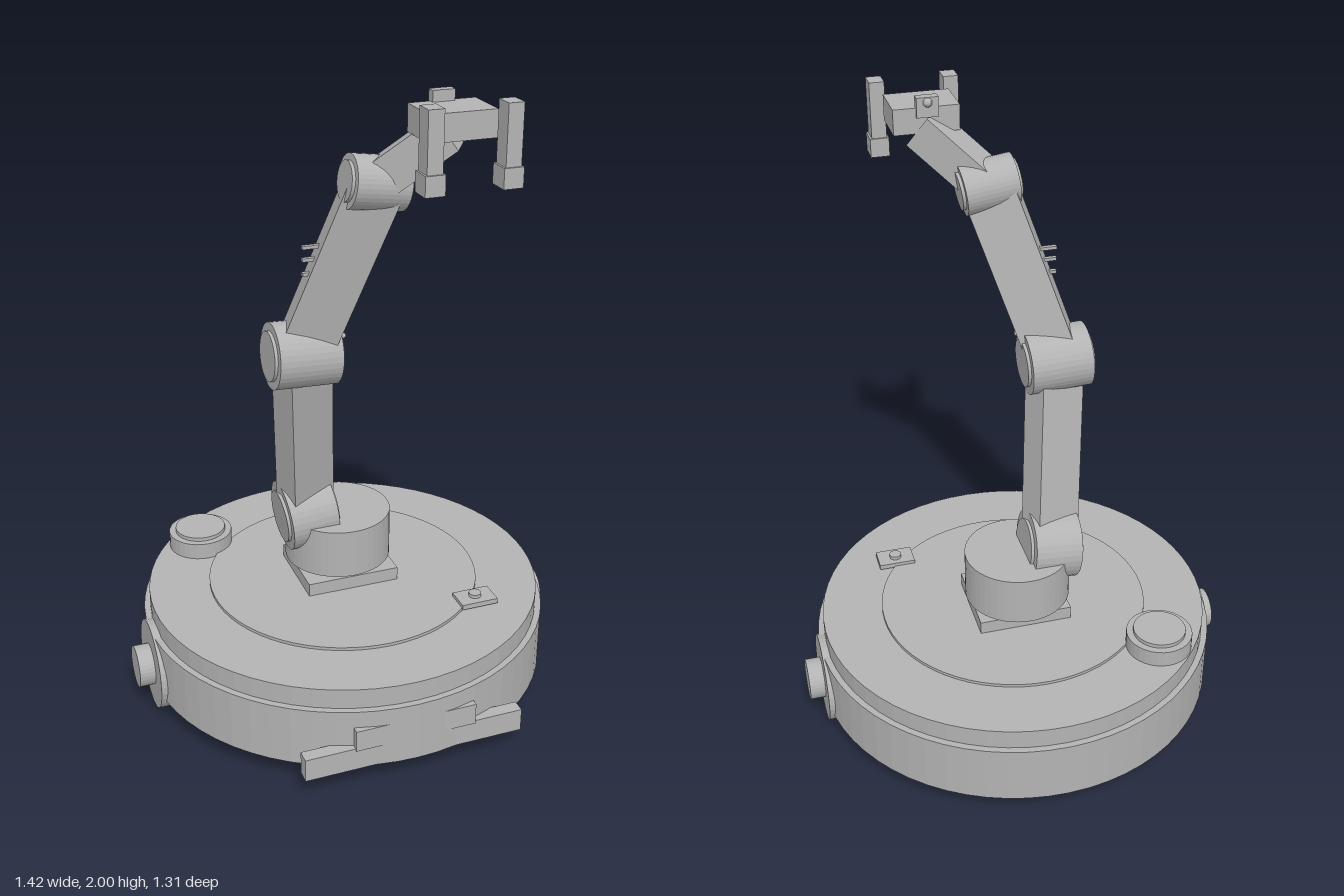
import * as THREE from 'three';

export function createModel() {
  const root = new THREE.Group();
  root.name = 'rovingArm';
  const grey = new THREE.MeshStandardMaterial({ color: 0xb3b3b3 });
  grey.name = 'plain grey';

  // Faceted mesh helper
  const add = (name, geometry, parent = root) => {
    const flat = geometry.index ? geometry.toNonIndexed() : geometry;
    flat.computeVertexNormals();
    const mesh = new THREE.Mesh(flat, grey);
    mesh.name = name;
    parent.add(mesh);
    return mesh;
  };
  // Box from its minimum and maximum corners
  const box = (name, [x0, y0, z0], [x1, y1, z1]) => {
    const m = add(name, new THREE.BoxGeometry(x1 - x0, y1 - y0, z1 - z0));
    m.position.set((x0 + x1) / 2, (y0 + y1) / 2, (z0 + z1) / 2);
    return m;
  };
  // Upright cylinder between two heights
  const disc = (name, r, y0, y1, x = 0, z = 0, sides = 48) => {
    const m = add(name, new THREE.CylinderGeometry(r, r, y1 - y0, sides));
    m.position.set(x, (y0 + y1) / 2, z);
    return m;
  };
  const ball = (name, r, x, y, z) =>
    add(name, new THREE.SphereGeometry(r, 12, 8)).position.set(x, y, z);

  // Round chassis
  disc('chassis', 0.657, 0.08, 0.275, 0, -0.002, 64);
  disc('chassisLid', 0.637, 0.275, 0.34, 0, -0.002, 64);
  disc('deckPlate', 0.44, 0.34, 0.35, 0, -0.003, 64);

  // Wheels and hubs
  for (const side of [1, -1]) {
    const wheel = new THREE.Group();
    wheel.name = side > 0 ? 'leftWheel' : 'rightWheel';
    wheel.position.set(side * 0.615, 0.144, 0);
    wheel.rotation.z = -side * Math.PI / 2;
    root.add(wheel);
    add('tyre', new THREE.CylinderGeometry(0.144, 0.144, 0.09, 36), wheel);
    add('hub', new THREE.CylinderGeometry(0.067, 0.067, 0.1, 32), wheel).position.y = 0.045;
  }

  // Front bumper
  box('bumperBar', [-0.352, 0.08, 0.6], [0.348, 0.155, 0.642]);
  box('bumperTab', [-0.195, 0.15, 0.62], [0.19, 0.22, 0.648]);

  // Deck fittings
  disc('sensorBase', 0.106, 0.34, 0.395, -0.39, -0.357, 32);
  disc('sensorCap', 0.084, 0.395, 0.408, -0.39, -0.357, 32);
  box('switchPlate', [0.28, 0.345, 0.262], [0.402, 0.362, 0.342]);
  disc('switchButton', 0.02, 0.36, 0.374, 0.341, 0.3, 16);

  // Turret
  box('turretPlate', [-0.153, 0.348, -0.164], [0.152, 0.393, 0.105]);
  disc('turretNeck', 0.125, 0.39, 0.412, 0, -0.045);
  disc('turret', 0.172, 0.41, 0.572, -0.003, -0.045);

  // Arm joints: barrel across the arm with a thin cap on each end
  const joint = (name, centre, r, length, tilt) => {
    const g = new THREE.Group();
    g.name = name;
    g.position.copy(centre);
    g.rotation.z = tilt - Math.PI / 2;
    root.add(g);
    add('barrel', new THREE.CylinderGeometry(r, r, length, 36), g);
    add('caps', new THREE.CylinderGeometry(r * 0.75, r * 0.75, length + 0.02, 32), g);
  };
  const shoulder = new THREE.Vector3(-0.112, 0.582, -0.047);
  const elbow = new THREE.Vector3(-0.162, 1.195, 0.087);
  const wrist = new THREE.Vector3(0.014, 1.738, 0.224);
  const palm = new THREE.Vector3(0.185, 1.895, 0.33);
  joint('shoulder', shoulder, 0.115, 0.155, 0.1);
  joint('elbow', elbow, 0.102, 0.196, -0.04);
  joint('wrist', wrist, 0.078, 0.165, -0.14);

  // Arm links: square bars between joints, turned about their length
  const link = (name, from, to, width, depth, yaw) => {
    const up = to.clone().sub(from);
    const length = up.length();
    up.normalize();
    const x = new THREE.Vector3(Math.cos(yaw), 0, -Math.sin(yaw));
    x.addScaledVector(up, -x.dot(up)).normalize();
    const z = new THREE.Vector3().crossVectors(x, up);
    const m = add(name, new THREE.BoxGeometry(width, length, depth));
    m.quaternion.setFromRotationMatrix(new THREE.Matrix4().makeBasis(x, up, z));
    m.position.copy(from).add(to).multiplyScalar(0.5);
  };
  link('upperArm', shoulder, elbow, 0.15, 0.105, 0.31);
  link('forearm', elbow, wrist, 0.157, 0.105, -0.31);
  link('handStem', wrist, palm, 0.1, 0.11, 1.01);

  // Forearm fins and elbow studs
  for (const y of [1.545, 1.508, 1.465]) {
    box('forearmFin', [-0.178, y - 0.005, 0.139], [-0.1, y + 0.005, 0.153]);
  }
  for (const y of [1.3, 1.262]) ball('elbowStud', 0.009, -0.056, y, 0.154);

  // Gripper
  box('palm', [0.08, 1.89, 0.287], [0.28, 1.968, 0.432]);
  for (const x of [0.068, 0.294]) {
    box('finger', [x - 0.023, 1.82, 0.449], [x + 0.023, 2, 0.508]);
    box('fingertip', [x - 0.029, 1.77, 0.444], [x + 0.029, 1.828, 0.513]);
  }
  box('cameraMount', [0.145, 1.94, 0.277], [0.211, 2, 0.305]);
  ball('cameraLens', 0.014, 0.178, 1.985, 0.277);

  return root;
}
